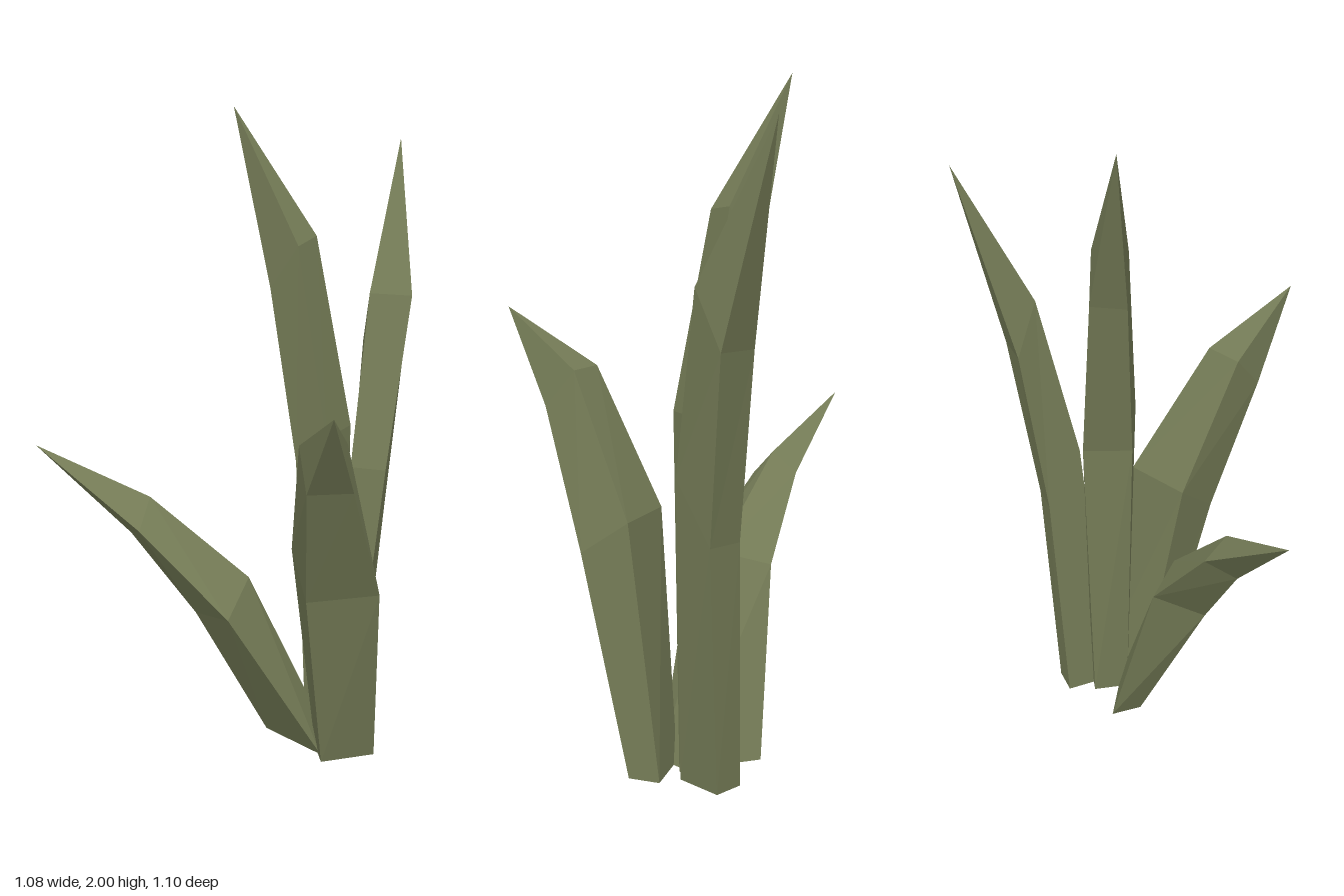
import * as THREE from 'three';

// Each leaf: rings of four corners (counter-clockwise from above) from the ground up, then a tip.
const LEAVES = {
  tallLeaf: {
    rings: [
      [[0.38, 0, -0.10], [0.385, 0, -0.20], [0.30, 0, -0.22], [0.28, 0, -0.11]],
      [[0.335, 1.05, -0.04], [0.385, 1.05, -0.185], [0.29, 0.95, -0.235], [0.235, 0.95, -0.09]],
      [[0.23, 1.62, -0.09], [0.265, 1.63, -0.195], [0.18, 1.49, -0.235], [0.14, 1.48, -0.13]],
    ],
    tip: [0.01, 2.0, -0.2],
  },
  backLeaf: {
    rings: [
      [[0.345, 0, -0.15], [0.42, 0, -0.145], [0.43, 0, -0.30], [0.335, 0, -0.30]],
      [[0.385, 0.9, -0.215], [0.495, 0.9, -0.21], [0.48, 0.72, -0.325], [0.368, 0.72, -0.33]],
      [[0.41, 1.43, -0.33], [0.54, 1.43, -0.33], [0.515, 1.26, -0.40], [0.385, 1.26, -0.40]],
    ],
    tip: [0.46, 1.87, -0.55],
  },
  frontLeaf: {
    rings: [
      [[0.36, 0, 0.055], [0.515, 0, -0.03], [0.48, 0, -0.12], [0.325, 0, -0.035]],
      [[0.33, 0.63, 0.22], [0.535, 0.64, 0.14], [0.48, 0.74, 0.0], [0.26, 0.74, 0.09]],
      [[0.355, 1.04, 0.395], [0.48, 1.04, 0.35], [0.445, 1.15, 0.26], [0.315, 1.15, 0.305]],
    ],
    tip: [0.45, 1.32, 0.55],
  },
  sideLeaf: {
    rings: [
      [[0.35, 0, 0.01], [0.36, 0, -0.10], [0.15, 0, -0.21], [0.15, 0, -0.11]],
      [[0.08, 0.51, 0.155], [0.11, 0.59, 0.0], [0.0, 0.55, -0.115], [-0.05, 0.47, 0.04]],
      [[-0.2, 0.77, 0.14], [-0.19, 0.85, 0.05], [-0.21, 0.79, -0.03], [-0.25, 0.73, 0.06]],
    ],
    tip: [-0.54, 1.0, 0.085],
  },
};

function leafGeometry({ rings, tip }) {
  const positions = [];
  const tri = (a, b, c) => positions.push(...a, ...b, ...c);
  const last = rings.length - 1;
  for (let i = 0; i < 4; i++) {
    const j = (i + 1) % 4;
    // side walls
    for (let r = 0; r < last; r++) {
      const lo = rings[r], hi = rings[r + 1];
      tri(lo[i], lo[j], hi[j]);
      tri(lo[i], hi[j], hi[i]);
    }
    // pointed end
    tri(rings[last][i], rings[last][j], tip);
  }
  // underside
  const [a, b, c, d] = rings[0];
  tri(a, c, b);
  tri(a, d, c);
  const geometry = new THREE.BufferGeometry();
  geometry.setAttribute('position', new THREE.Float32BufferAttribute(positions, 3));
  geometry.computeVertexNormals();
  return geometry;
}

export function createModel() {
  const group = new THREE.Group();
  group.name = 'grassTuft';
  const green = new THREE.MeshStandardMaterial({ color: 0x747b56, flatShading: true });
  green.name = 'olive green';
  for (const [name, leaf] of Object.entries(LEAVES)) {
    const mesh = new THREE.Mesh(leafGeometry(leaf), green);
    mesh.name = name;
    group.add(mesh);
  }
  return group;
}
